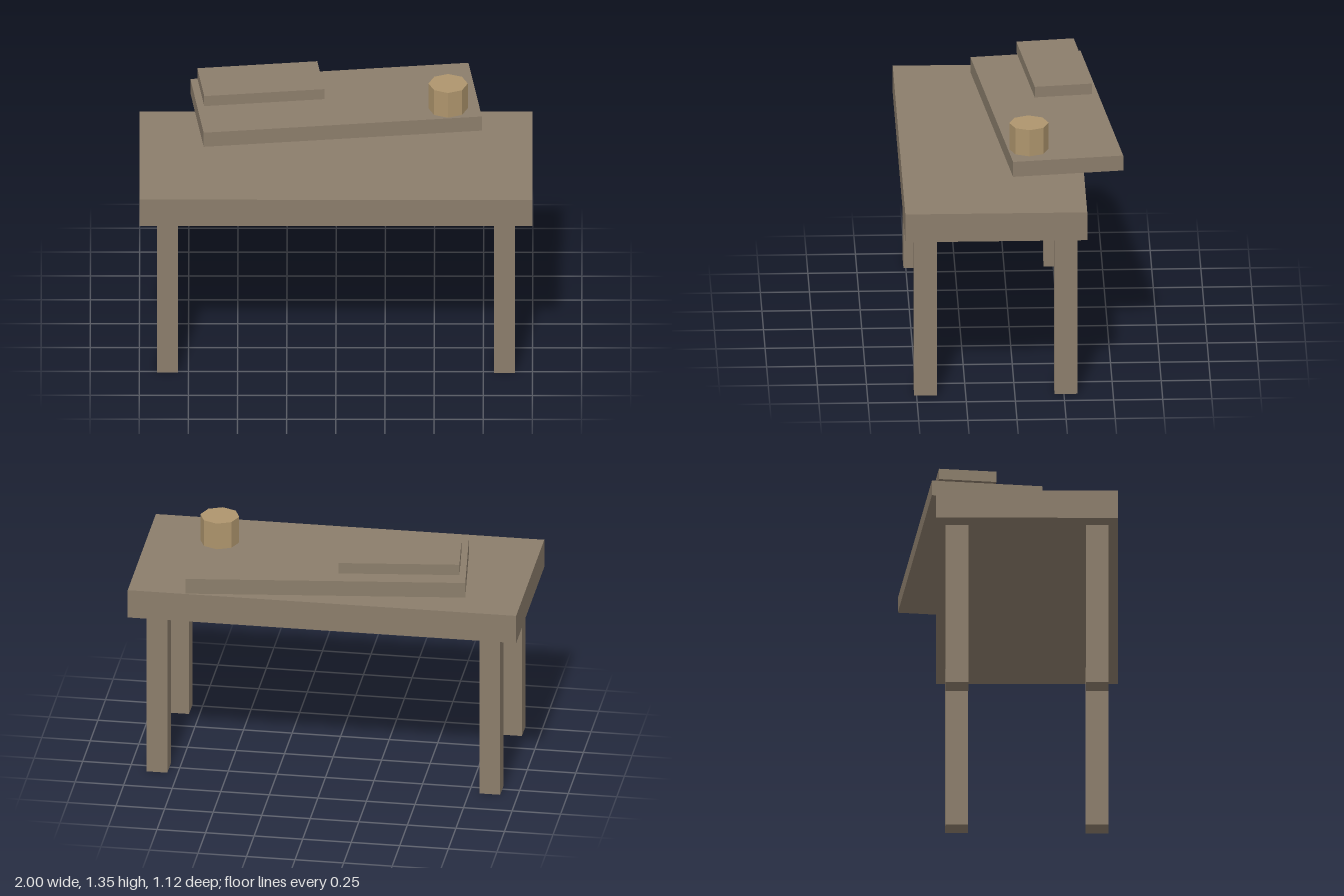
import * as THREE from 'three';

export function createModel() {
  const model = new THREE.Group();
  const wood = new THREE.MeshStandardMaterial({ name: 'weathered wood', color: 0x8b7d6b });
  const tan = new THREE.MeshStandardMaterial({ name: 'tan clay', color: 0xae956d });

  // Adds a box resting on height y0, turned about the vertical axis
  const box = (name, w, h, d, x, y0, z, turn = 0) => {
    const mesh = new THREE.Mesh(new THREE.BoxGeometry(w, h, d), wood);
    mesh.name = name;
    mesh.position.set(x, y0 + h / 2, z);
    mesh.rotation.y = turn;
    model.add(mesh);
  };

  // Table
  box('tableTop', 2, 0.153, 0.926, 0, 0.88, 0.097);
  for (const x of [-0.857, 0.857]) {
    box('frontLeg', 0.107, 0.88, 0.116, x, 0, 0.454);
    box('backLeg', 0.107, 0.88, 0.116, x, 0, -0.26);
  }

  // Boards hovering above the table, slightly turned
  const turn = 0.121;
  box('board', 1.425, 0.082, 0.567, 0, 1.127, -0.192, turn);
  box('smallBoard', 0.615, 0.058, 0.295, -0.383, 1.234, -0.242, turn);

  // Eight-sided cup
  const cup = new THREE.Mesh(new THREE.CylinderGeometry(0.1, 0.1, 0.144, 8).toNonIndexed(), tan);
  cup.geometry.computeVertexNormals();
  cup.name = 'cup';
  cup.position.set(0.57, 1.281, -0.083);
  model.add(cup);

  return model;
}
